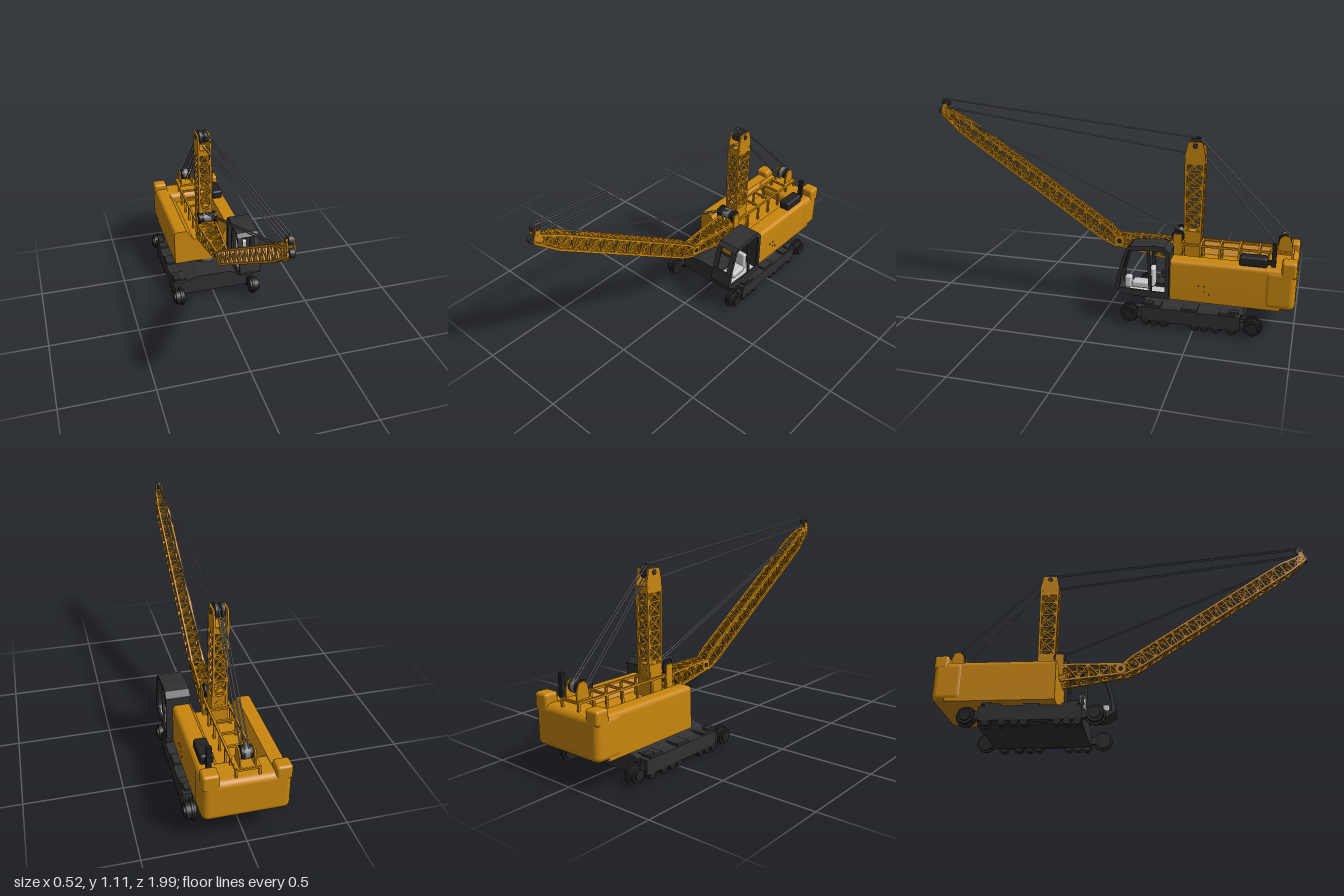
import * as THREE from 'three';
import { mergeGeometries, toCreasedNormals } from 'three/addons/utils/BufferGeometryUtils.js';
import { RoundedBoxGeometry } from 'three/addons/geometries/RoundedBoxGeometry.js';

const mat = (name, color) => {
  const m = new THREE.MeshStandardMaterial({ color });
  m.name = name;
  return m;
};
const V = (x, y, z) => new THREE.Vector3(x, y, z);

export function createModel() {
  const yellow = mat('yellowPaint', 0xc8860e);
  const dark = mat('darkGrey', 0x303032);
  const black = mat('black', 0x222224);
  const cable = mat('cableGrey', 0x7c7c7e);
  const light = mat('seatGrey', 0xcccccc);
  const root = new THREE.Group();

  // one mesh from one geometry or a list of them
  const add = (name, geo, m) => {
    const list = [geo].flat().map(g => (g.index ? g.toNonIndexed() : g));
    const mesh = new THREE.Mesh(mergeGeometries(list), m);
    mesh.name = name;
    root.add(mesh);
  };
  // box from min/max ranges
  const box = (x0, x1, y0, y1, z0, z1) =>
    new THREE.BoxGeometry(x1 - x0, y1 - y0, z1 - z0).translate((x0 + x1) / 2, (y0 + y1) / 2, (z0 + z1) / 2);
  const rbox = (x0, x1, y0, y1, z0, z1, r) =>
    new RoundedBoxGeometry(x1 - x0, y1 - y0, z1 - z0, 4, r).translate((x0 + x1) / 2, (y0 + y1) / 2, (z0 + z1) / 2);
  // straight bar between two points
  const bar = (a, b, w, h = w) => {
    const g = new THREE.BoxGeometry(w, h, a.distanceTo(b));
    const m = new THREE.Matrix4().lookAt(b, a, Math.abs(b.y - a.y) > 0.999 * a.distanceTo(b) ? V(0, 0, 1) : V(0, 1, 0));
    return g.applyMatrix4(m.setPosition(a.clone().add(b).multiplyScalar(0.5)));
  };
  const rope = (a, b, r = 0.0035) => {
    const g = new THREE.CylinderGeometry(r, r, a.distanceTo(b), 8);
    const q = new THREE.Quaternion().setFromUnitVectors(V(0, 1, 0), b.clone().sub(a).normalize());
    return g.applyQuaternion(q).translate((a.x + b.x) / 2, (a.y + b.y) / 2, (a.z + b.z) / 2);
  };
  // cylinder lying along x
  const axle = (r, x0, x1, y, z) =>
    new THREE.CylinderGeometry(r, r, x1 - x0, 24).rotateZ(Math.PI / 2).translate((x0 + x1) / 2, y, z);
  const shapeOf = pts => new THREE.Shape(pts.map(p => new THREE.Vector2(...p)));
  const extrudeZ = (shape, z0, z1) =>
    new THREE.ExtrudeGeometry(shape, { depth: z1 - z0, bevelEnabled: false }).translate(0, 0, z0);
  // side profile (z, y) pushed along x
  const extrudeX = (shape, x0, x1) =>
    new THREE.ExtrudeGeometry(shape, { depth: x1 - x0, bevelEnabled: false }).rotateY(-Math.PI / 2).translate(x1, 0, 0);

  // Lattice column from p0 to p1 in (z, y); sections are [t, half width, half depth]
  const lattice = (name, p0, p1, sections, bays, w, cross) => {
    const dz = p1[0] - p0[0], dy = p1[1] - p0[1], len = Math.hypot(dz, dy);
    const corner = (t, i) => {
      let k = 0;
      while (k < sections.length - 2 && t > sections[k + 1][0]) k++;
      const [a, b] = [sections[k], sections[k + 1]];
      const f = (t - a[0]) / (b[0] - a[0]);
      const sx = [-1, 1, 1, -1][i], sn = [-1, -1, 1, 1][i];
      const hx = a[1] + (b[1] - a[1]) * f, hd = (a[2] + (b[2] - a[2]) * f) * sn;
      return V(sx * hx, p0[1] + dy * t + hd * dz / len, p0[0] + dz * t - hd * dy / len);
    };
    const parts = [];
    for (let n = 0; n <= bays; n++) {
      for (let i = 0; i < 4; i++) {
        const j = (i + 1) % 4, t = n / bays, u = (n + 1) / bays;
        parts.push(bar(corner(t, i), corner(t, j), w * 0.75));
        if (n === bays) continue;
        parts.push(bar(corner(t, i), corner(u, i), w));
        const flip = (n + (i > 1 ? 1 : 0)) % 2;
        if (cross || !flip) parts.push(bar(corner(t, i), corner(u, j), w * 0.65));
        if (cross || flip) parts.push(bar(corner(t, j), corner(u, i), w * 0.65));
      }
    }
    add(name, parts, yellow);
  };

  // Undercarriage
  add('chassis', extrudeZ(shapeOf([[-0.2, 0.028], [0.2, 0.028], [0.2, 0.105], [0.175, 0.115],
    [0.09, 0.137], [-0.09, 0.137], [-0.175, 0.115], [-0.2, 0.105]]), -0.75, -0.23), dark);
  add('turntable', new THREE.CylinderGeometry(0.09, 0.105, 0.03, 40).translate(0, 0.146, -0.47), black);
  for (const s of [-1, 1]) {
    const sx = (r, a, b, y, z) => axle(r, Math.min(s * a, s * b), Math.max(s * a, s * b), y, z);
    const sb = (a, b, ...r) => box(Math.min(s * a, s * b), Math.max(s * a, s * b), ...r);
    add('sideFrame', [sb(0.19, 0.245, 0.035, 0.11, -0.74, -0.23), sb(0.205, 0.235, 0.045, 0.085, -0.81, -0.15),
      ...[-0.29, -0.48, -0.67].map(z => sb(0.16, 0.24, 0.108, 0.122, z - 0.04, z + 0.04)),
      sb(0.205, 0.235, 0.12, 0.132, -0.73, -0.68), sb(0.205, 0.235, 0.12, 0.132, -0.29, -0.24)], dark);
    const wheels = [];
    for (const z of [-0.165, -0.8]) {
      wheels.push(sx(0.042, 0.2, 0.25, 0.062, z), sx(0.028, 0.25, 0.26, 0.062, z), sx(0.052, 0.212, 0.224, 0.062, z));
    }
    for (const z of [-0.25, -0.3, -0.35, -0.51, -0.56, -0.62, -0.7]) {
      wheels.push(sx(0.02, 0.205, 0.245, 0.028, z), sx(0.027, 0.215, 0.222, 0.028, z));
    }
    add('wheels', wheels, black);
  }

  // Machinery house: trough-shaped section with rounded shoulders
  const house = new THREE.Shape();
  house.moveTo(-0.2, 0.155);
  house.lineTo(0.212, 0.155);
  house.lineTo(0.212, 0.345);
  house.quadraticCurveTo(0.212, 0.37, 0.187, 0.37);
  house.lineTo(0.125, 0.37);
  house.lineTo(0.095, 0.31);
  house.lineTo(-0.085, 0.31);
  house.lineTo(-0.125, 0.37);
  house.lineTo(-0.175, 0.37);
  house.quadraticCurveTo(-0.2, 0.37, -0.2, 0.345);
  add('house', toCreasedNormals(extrudeZ(house, -0.93, -0.372), 0.6), yellow);
  add('counterweight', rbox(-0.204, 0.216, 0.157, 0.368, -1, -0.84, 0.032), yellow);
  add('leftHorn', rbox(0.135, 0.216, 0.33, 0.415, -1, -0.925, 0.015), yellow);
  add('rightHorn', rbox(-0.204, -0.125, 0.33, 0.405, -1, -0.925, 0.015), yellow);
  add('houseVents', [[-0.52, 0.245], [-0.55, 0.245], [-0.55, 0.215], [-0.575, 0.205]]
    .map(([z, y]) => box(0.21, 0.214, y - 0.004, y + 0.004, z - 0.003, z + 0.003)), black);

  // Deck frame and rear gantry
  const frame = [];
  const stops = [-0.4, -0.5, -0.6, -0.7, -0.8, -0.88, -0.97];
  for (const x of [-0.055, 0.055]) {
    frame.push(bar(V(x, 0.405, -0.4), V(x, 0.405, -0.97), 0.011));
    for (const z of stops) frame.push(bar(V(x, 0.3, z), V(x, 0.405, z), 0.011));
  }
  for (const z of stops) frame.push(bar(V(-0.06, 0.405, z), V(0.06, 0.405, z), 0.011));
  frame.push(box(-0.055, 0.055, 0.4, 0.412, -0.97, -0.88));
  add('deckFrame', frame, yellow);
  const bracket = shapeOf([[-0.965, 0.41], [-0.89, 0.41], [-0.9, 0.475], [-0.92, 0.495], [-0.95, 0.49], [-0.965, 0.45]]);
  add('rearBracket', [extrudeX(bracket, -0.04, -0.032), extrudeX(bracket, 0.032, 0.04)], yellow);
  add('rearSheave', axle(0.032, -0.026, 0.026, 0.465, -0.925), black);
  add('rearSheaveGroove', axle(0.034, -0.012, 0.012, 0.465, -0.925), cable);

  // Exhaust
  add('muffler', rbox(0.125, 0.19, 0.365, 0.418, -0.855, -0.715, 0.012), black);
  add('exhaustPipe', [box(0.147, 0.17, 0.37, 0.49, -0.895, -0.873), box(0.147, 0.17, 0.38, 0.4, -0.88, -0.85)], black);

  // Mast
  lattice('mast', [-0.452, 0.42], [-0.452, 0.86], [[0, 0.034, 0.04], [1, 0.034, 0.046]], 6, 0.012, true);
  add('mastFoot', box(-0.042, 0.042, 0.3, 0.475, -0.495, -0.412), yellow);
  const head = shapeOf([[-0.505, 0.83], [-0.4, 0.83], [-0.4, 0.88], [-0.415, 0.95], [-0.49, 0.95], [-0.505, 0.88]]);
  add('mastHead', [extrudeX(head, -0.039, -0.029), extrudeX(head, 0.029, 0.039),
    box(-0.035, 0.035, 0.83, 0.86, -0.503, -0.402)], yellow);
  add('mastSheaves', [axle(0.036, -0.024, -0.006, 0.932, -0.452), axle(0.036, 0.006, 0.024, 0.932, -0.452),
    axle(0.014, -0.042, 0.042, 0.93, -0.452)], dark);

  // Boom foot and boom
  lattice('boomFoot', [-0.4, 0.355], [-0.05, 0.383], [[0, 0.056, 0.045], [0.45, 0.046, 0.038], [1, 0.03, 0.026]], 6, 0.012, false);
  lattice('boom', [-0.05, 0.37], [0.965, 1.04],
    [[0, 0.03, 0.022], [0.07, 0.031, 0.037], [0.88, 0.029, 0.034], [1, 0.014, 0.018]], 25, 0.0115, false);
  add('boomHinge', [axle(0.03, -0.038, -0.026, 0.382, -0.055), axle(0.03, 0.026, 0.038, 0.382, -0.055)], yellow);
  add('boomHingePin', axle(0.012, -0.042, 0.042, 0.382, -0.055), black);
  for (const s of [-1, 1]) {
    add('tipCheek', extrudeX(shapeOf([[0.91, 1.0], [0.96, 1.02], [0.975, 1.045], [0.955, 1.095], [0.94, 1.09], [0.935, 1.04]]),
      s * 0.016 - 0.003, s * 0.016 + 0.003), yellow);
  }
  add('tipSheaves', [axle(0.022, -0.011, 0.011, 1.086, 0.95), axle(0.02, -0.011, 0.011, 1.037, 0.972),
    axle(0.008, -0.022, 0.022, 1.086, 0.95)], dark);

  // Hoist winch on the boom foot
  add('hoistWinch', [axle(0.026, -0.045, 0.045, 0.445, -0.378), axle(0.034, -0.052, -0.042, 0.445, -0.378),
    axle(0.034, 0.042, 0.052, 0.445, -0.378)], black);
  add('hoistRopeDrum', axle(0.028, -0.022, 0.022, 0.445, -0.378), cable);
  add('winchBrackets', [-1, 1].map(s => box(s * 0.06 - 0.004, s * 0.06 + 0.004, 0.34, 0.46, -0.4, -0.355)), yellow);

  // Ropes
  const ropes = [];
  for (const x of [-0.009, 0.009]) {
    ropes.push(rope(V(x, 1.106, 0.955), V(x, 0.967, -0.45)), rope(V(x, 1.06, 0.955), V(x, 0.885, -0.42)),
      rope(V(x, 1.035, 0.95), V(x, 0.472, -0.375)), rope(V(x, 0.962, -0.475), V(x, 0.492, -0.945)),
      rope(V(x, 0.9, -0.48), V(x, 0.44, -0.885)));
  }
  add('ropes', ropes, cable);

  // Cab: two pierced side walls joined by panels
  const profile = [[-0.14, 0.167], [-0.095, 0.195], [-0.09, 0.215], [-0.103, 0.285], [-0.143, 0.415], [-0.165, 0.435],
    [-0.3, 0.45], [-0.345, 0.445], [-0.372, 0.415], [-0.372, 0.167]];
  const side = shapeOf(profile);
  for (const h of [[[-0.112, 0.205], [-0.122, 0.285], [-0.16, 0.412], [-0.255, 0.42], [-0.268, 0.2]],
    [[-0.284, 0.2], [-0.27, 0.42], [-0.335, 0.42], [-0.352, 0.4], [-0.352, 0.2]]]) {
    side.holes.push(new THREE.Path(h.map(p => new THREE.Vector2(...p))));
  }
  add('cabSides', [extrudeX(side, 0.12, 0.131), extrudeX(side, 0.234, 0.245)], dark);
  const panels = [];
  profile.forEach((p, i) => {
    const q = profile[(i + 1) % profile.length];
    if (i === 3) return; // open windscreen
    const d = Math.hypot(q[0] - p[0], q[1] - p[1]), k = 0.005 / d;
    const nz = (p[1] - q[1]) * k, ny = (q[0] - p[0]) * k; // inset toward the cab interior
    panels.push(bar(V(0.1825, p[1] + ny, p[0] + nz), V(0.1825, q[1] + ny, q[0] + nz), 0.12, 0.01));
  });
  add('cabShell', panels, dark);
  add('windscreenPosts', [0.14, 0.225].map(x => bar(V(x, 0.285, -0.108), V(x, 0.415, -0.148), 0.018, 0.01)), dark);

  // Operator's seat and console
  add('seat', [rbox(0.148, 0.218, 0.2, 0.235, -0.27, -0.17, 0.01), rbox(0.15, 0.216, 0.21, 0.316, -0.29, -0.262, 0.01),
    rbox(0.16, 0.206, 0.19, 0.255, -0.165, -0.13, 0.01), box(0.134, 0.232, 0.178, 0.184, -0.355, -0.13)], light);

  return root;
}
